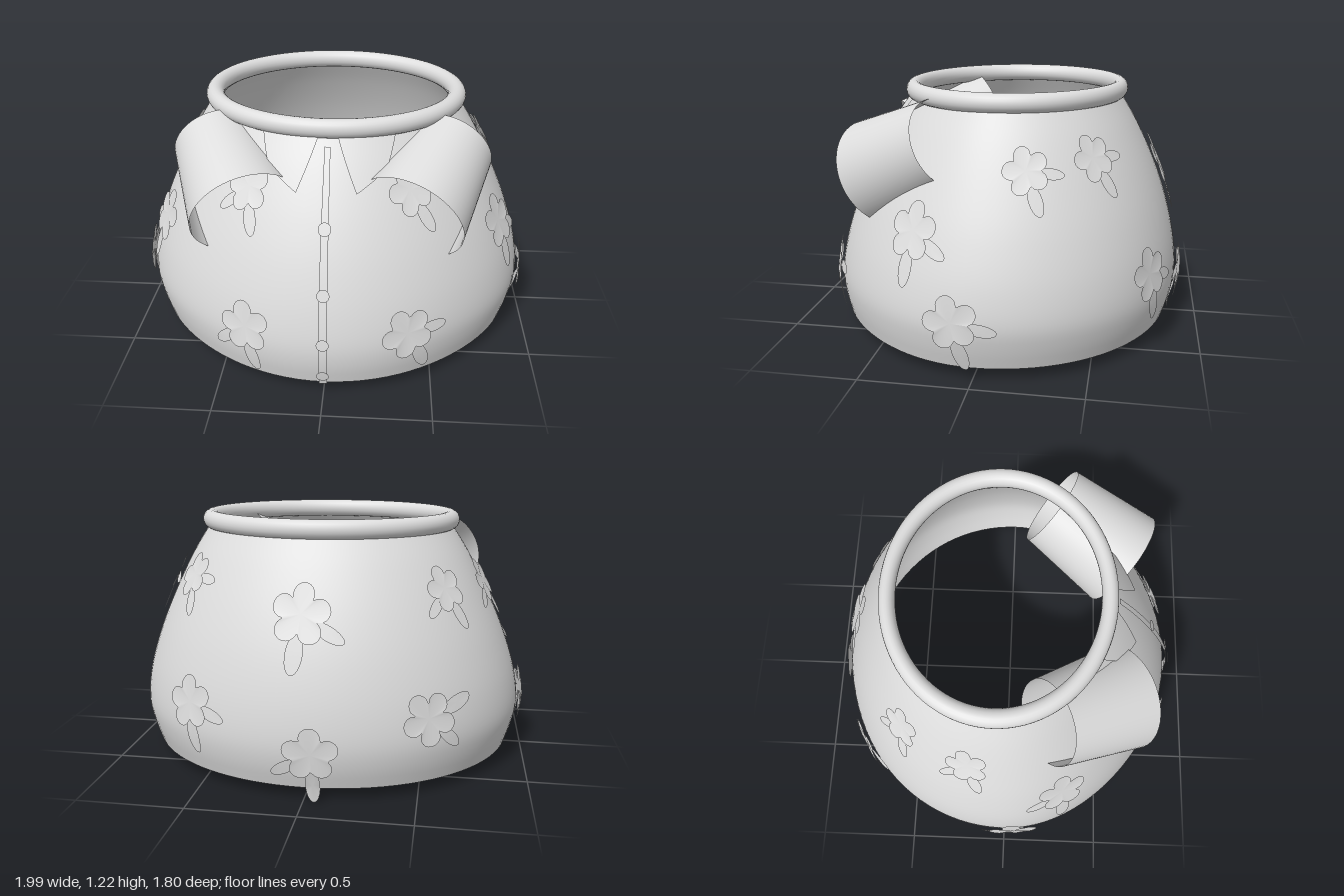
import * as THREE from 'three';
import { mergeVertices } from 'three/addons/utils/BufferGeometryUtils.js';

const grey = new THREE.MeshStandardMaterial({ color: 0xdddddd, side: THREE.DoubleSide });
grey.name = 'plain grey';

// Body profile: half width, height, half depth
const rows = new THREE.CatmullRomCurve3([
  [0.92, 0.05, 0.84], [0.95, 0.15, 0.865], [0.967, 0.25, 0.873], [0.948, 0.4, 0.853],
  [0.885, 0.6, 0.797], [0.798, 0.8, 0.715], [0.695, 1.0, 0.608], [0.6, 1.15, 0.51],
].map(p => new THREE.Vector3(...p))).getPoints(70);

function sectionAt(y) {
  let i = 0;
  while (i < rows.length - 2 && rows[i + 1].y < y) i++;
  const t = THREE.MathUtils.clamp((y - rows[i].y) / (rows[i + 1].y - rows[i].y), 0, 1);
  const p = rows[i].clone().lerp(rows[i + 1], t);
  return { a: p.x, b: p.z, zc: -0.05 * (y - 0.05) };
}

// Point on the body; the angle runs from the front (+z) towards +x.
// The front corners are slightly flatter than an ellipse.
function onBody(angle, y, off = 0) {
  const { a, b, zc } = sectionAt(y);
  const s = Math.sin(angle), c = Math.cos(angle);
  const k = 1 - (c > 0 ? 0.028 : -0.004) * Math.sin(2 * angle) ** 2;
  return new THREE.Vector3((a * k + off) * s, y, zc + (b * k + off) * c);
}

// Bend a flat geometry (x right, y up) around the body
function wrap(geo, angle, y, off) {
  const pos = geo.attributes.position;
  const { a, b } = sectionAt(y);
  const radius = Math.hypot(a * Math.cos(angle), b * Math.sin(angle));
  for (let i = 0; i < pos.count; i++) {
    const p = onBody(angle + pos.getX(i) / radius, y + pos.getY(i), off + pos.getZ(i));
    pos.setXYZ(i, p.x, p.y, p.z);
  }
  geo.computeVertexNormals();
  return geo;
}

function add(parent, name, geo) {
  const mesh = new THREE.Mesh(geo, grey);
  mesh.name = name;
  parent.add(mesh);
  return mesh;
}

// Open shell of the shirt
function bodyGeometry() {
  const tube = new THREE.CylinderGeometry(1, 1, 1, 96, 40, true);
  tube.deleteAttribute('uv');
  const geo = mergeVertices(tube);
  const pos = geo.attributes.position;
  for (let i = 0; i < pos.count; i++) {
    const angle = Math.atan2(pos.getX(i), pos.getZ(i));
    const p = onBody(angle, 0.05 + 1.1 * (pos.getY(i) + 0.5));
    pos.setXYZ(i, p.x, p.y, p.z);
  }
  geo.computeVertexNormals();
  return geo;
}

// Five-petal blossom whose rim lifts slightly off the cloth
function blossomGeometry(turn) {
  const geo = new THREE.CircleGeometry(1, 60);
  const pos = geo.attributes.position;
  for (let i = 1; i < pos.count; i++) {
    const f = Math.atan2(pos.getY(i), pos.getX(i));
    const r = 0.125 * (0.55 + 0.45 * Math.pow(Math.abs(Math.cos(2.5 * (f - turn))), 0.6));
    pos.setXYZ(i, r * Math.cos(f), r * Math.sin(f), 0.008);
  }
  return geo;
}

function leafGeometry(turn) {
  return new THREE.CircleGeometry(1, 24).scale(0.034, 0.085, 1)
    .translate(0, -0.155, 0.004).rotateZ(turn);
}

// Flowers: x, y, z of the centre, turn, size
const flowers = [
  [-0.35, 0.32, 0.77, 0.2, 1], [0.37, 0.31, 0.77, 0.5, 1],
  [-0.34, 0.91, 0.52, 0.3, 0.85], [0.36, 0.91, 0.52, 0.4, 0.85],
  [-0.81, 0.61, 0.28, -0.1, 1], [0.82, 0.63, 0.28, 0, 1],
  [0.96, 0.28, 0.08, 0.3, 1], [-0.96, 0.28, 0.05, 0.1, 1],
  [0.72, 0.9, -0.2, 0.3, 0.8], [-0.73, 0.89, -0.17, 0.3, 0.8],
  [0.57, 0.93, -0.47, 0.4, 0.8], [-0.6, 0.9, -0.5, 0.3, 0.8],
  [0.02, 0.82, -0.77, -0.1, 1.05], [-0.52, 0.37, -0.72, 1.9, 1],
  [0.52, 0.39, -0.72, 0.2, 1], [-0.04, 0.23, -0.88, 0.05, 1],
];

export function createModel() {
  const model = new THREE.Group();
  model.name = 'shirt';
  add(model, 'body', bodyGeometry());

  // Rolled neck ring
  const ring = add(model, 'neckRing', new THREE.TorusGeometry(0.6, 0.045, 20, 96).rotateX(Math.PI / 2));
  ring.scale.z = 0.86;
  ring.position.set(0, 1.161, -0.055);

  for (const side of [-1, 1]) {
    // Short open sleeve pointing forwards and inwards
    const back = new THREE.Vector3(side * 0.565, 0.97, 0.19);
    const front = new THREE.Vector3(side * 0.375, 0.78, 0.565);
    const axis = back.clone().sub(front);
    const sleeve = add(model, side > 0 ? 'leftSleeve' : 'rightSleeve',
      new THREE.CylinderGeometry(0.21, 0.26, axis.length(), 56, 4, true));
    sleeve.position.copy(back).add(front).multiplyScalar(0.5);
    sleeve.quaternion.setFromUnitVectors(new THREE.Vector3(0, 1, 0), axis.normalize());

    // Pointed collar flap lying on the chest
    const flap = new THREE.PlaneGeometry(1, 1, 10, 6);
    const pos = flap.attributes.position;
    const mix = THREE.MathUtils.lerp;
    for (let i = 0; i < pos.count; i++) {
      const u = pos.getX(i) * side + 0.5, v = pos.getY(i) + 0.5;
      pos.setXYZ(i, side * mix(mix(0.125, 0.27, u), mix(0.045, 0.36, u), v),
        mix(mix(-0.085, 0.0, u), 0.14, v), 0);
    }
    add(model, side > 0 ? 'leftCollarFlap' : 'rightCollarFlap', wrap(flap, 0, 1.0, 0.014));
  }

  // Button strip and buttons
  add(model, 'buttonStrip', wrap(new THREE.PlaneGeometry(0.036, 1.04, 2, 40), 0, 0.575, 0.018));
  for (const y of [0.12, 0.295, 0.52, 0.79]) {
    add(model, 'button', wrap(new THREE.CircleGeometry(0.028, 24), 0, y, 0.032));
  }

  // Flower pattern
  for (const [x, y, z, turn, size] of flowers) {
    const { a, b, zc } = sectionAt(y);
    const angle = Math.atan2(x / a, (z - zc) / b);
    const sideTurn = turn + (x < 0 ? -1.1 : 1.1);
    const flower = new THREE.Group();
    flower.name = 'flower';
    add(flower, 'blossom', wrap(blossomGeometry(turn + 0.3).scale(size, size, 1), angle, y, 0.02));
    add(flower, 'leaf', wrap(leafGeometry(turn).scale(size, size, 1), angle, y, 0.018));
    add(flower, 'sideLeaf', wrap(leafGeometry(sideTurn).scale(0.85 * size, 0.85 * size, 1), angle, y, 0.018));
    model.add(flower);
  }
  return model;
}
